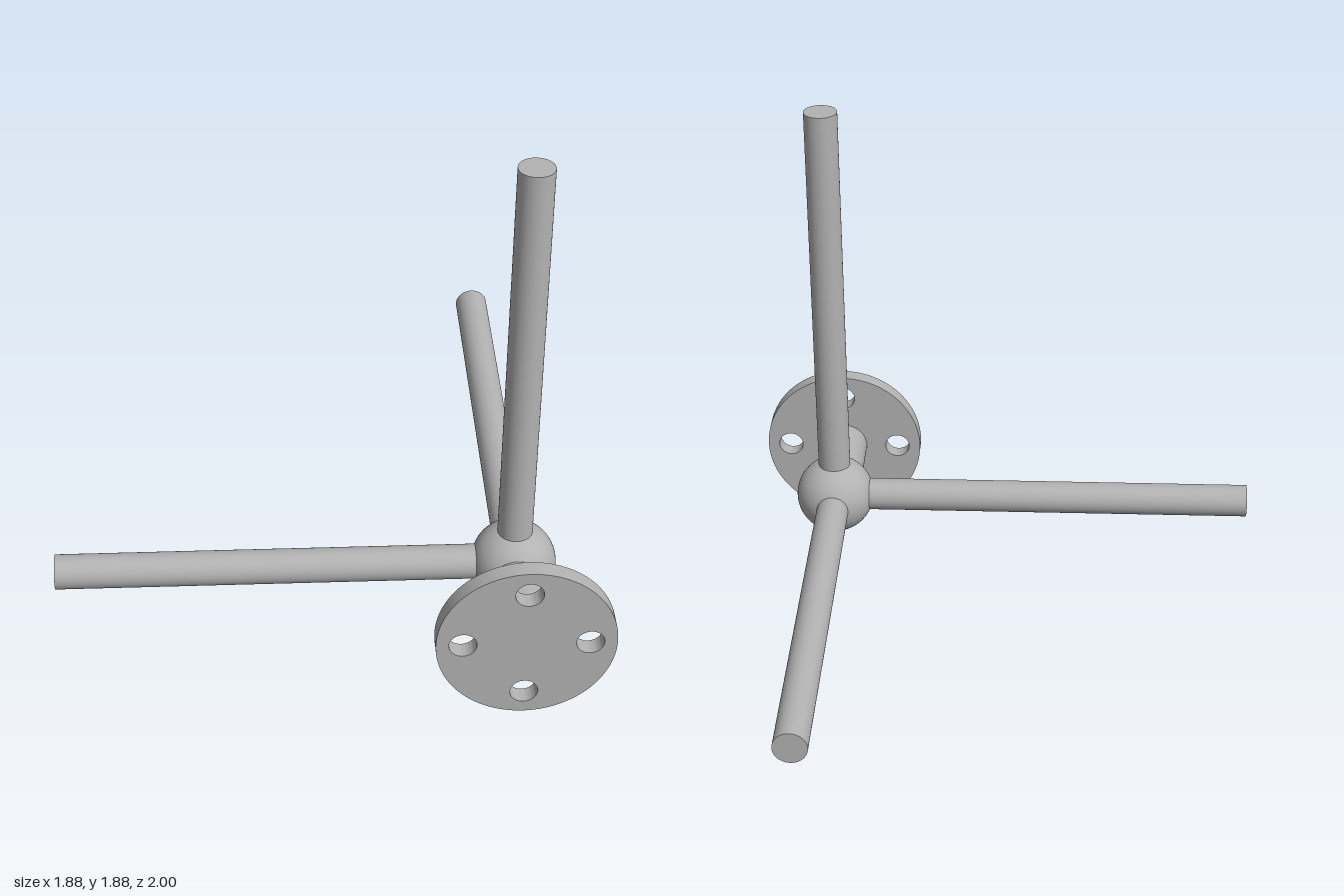
import * as THREE from 'three';
import { toCreasedNormals } from 'three/addons/utils/BufferGeometryUtils.js';

const HUB = new THREE.Vector3(0.637, 0.302, 0.576);
const ROD_LENGTH = 1.576, ROD_RADIUS = 0.06;
const FLANGE_RADIUS = 0.302, FLANGE_THICKNESS = 0.06;
const HOLE_CIRCLE = 0.212, HOLE_RADIUS = 0.047;

export function createModel() {
  const model = new THREE.Group();
  model.name = 'cornerFitting';
  const steel = new THREE.MeshStandardMaterial({ color: 0xb2b2b2 });
  steel.name = 'plain grey metal';

  // Hub-centred assembly
  const add = (name, geometry) => {
    const mesh = new THREE.Mesh(geometry, steel);
    mesh.name = name;
    mesh.position.copy(HUB);
    model.add(mesh);
    return mesh;
  };

  // Round bar running from the hub centre along a direction
  const bar = (name, radius, length, direction) => {
    const geometry = new THREE.CylinderGeometry(radius, radius, length, 48);
    geometry.translate(0, length / 2, 0);
    const mesh = add(name, geometry);
    mesh.quaternion.setFromUnitVectors(new THREE.Vector3(0, 1, 0), direction);
  };

  add('ballHub', new THREE.SphereGeometry(0.146, 64, 40));
  bar('uprightRod', ROD_RADIUS, ROD_LENGTH, new THREE.Vector3(0, 1, 0));
  bar('sideRod', ROD_RADIUS, ROD_LENGTH, new THREE.Vector3(-1, 0, 0));
  bar('rearRod', ROD_RADIUS, ROD_LENGTH, new THREE.Vector3(0, 0, -1));

  // Thicker neck between hub and flange
  const flangeBack = 1 - FLANGE_THICKNESS - HUB.z;
  bar('flangeNeck', 0.09, flangeBack + 0.01, new THREE.Vector3(0, 0, 1));

  // Flange disc with four bolt holes
  const disc = new THREE.Shape().absarc(0, 0, FLANGE_RADIUS, 0, Math.PI * 2, false);
  for (let i = 0; i < 4; i++) {
    const a = i * Math.PI / 2;
    disc.holes.push(new THREE.Path().absarc(
      HOLE_CIRCLE * Math.cos(a), HOLE_CIRCLE * Math.sin(a), HOLE_RADIUS, 0, Math.PI * 2, true));
  }
  const flange = new THREE.ExtrudeGeometry(disc, {
    depth: FLANGE_THICKNESS, bevelEnabled: false, curveSegments: 64,
  });
  flange.translate(0, 0, flangeBack);
  add('mountingFlange', toCreasedNormals(flange, 0.6));

  return model;
}
